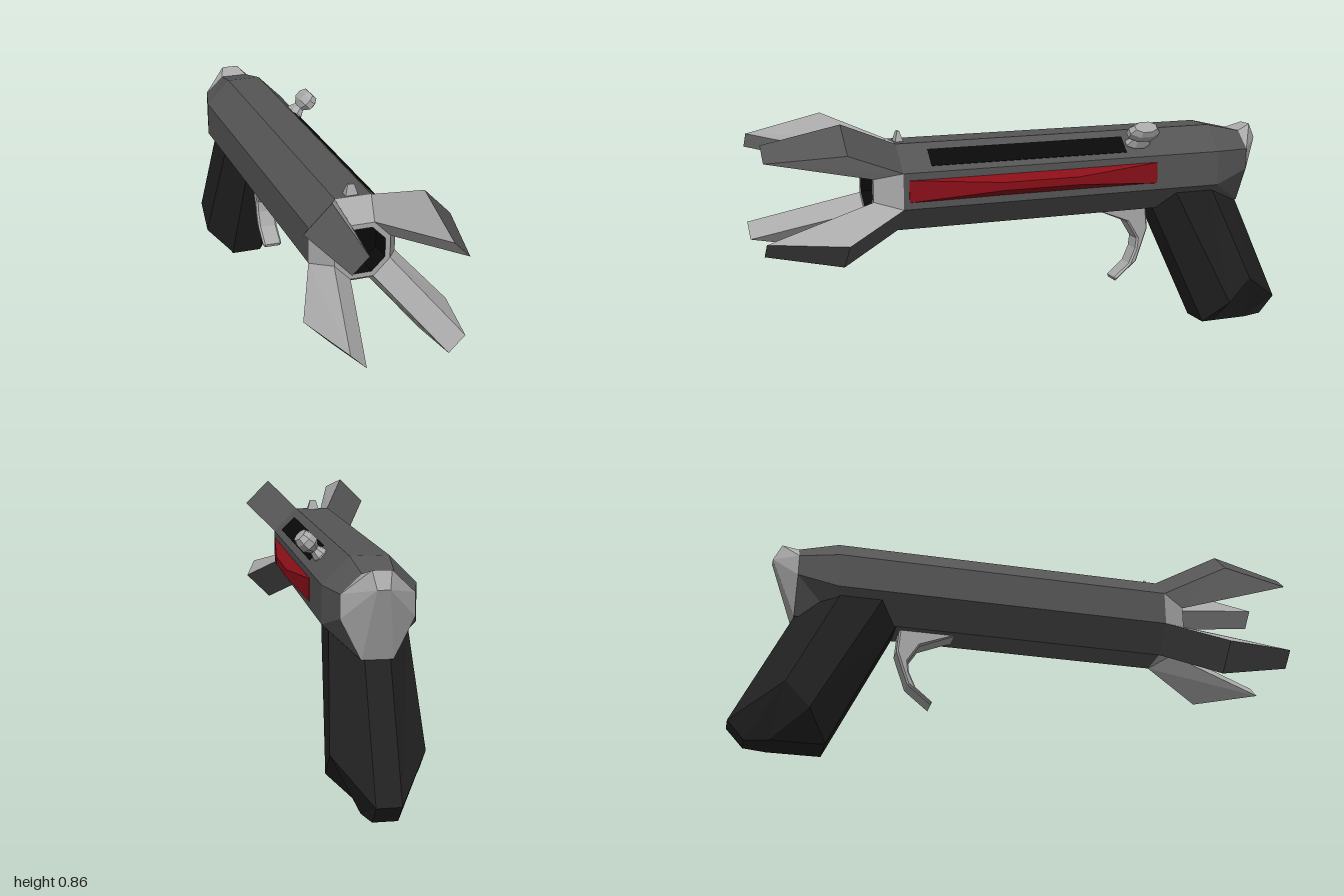
import * as THREE from 'three';
import { ConvexGeometry } from 'three/addons/geometries/ConvexGeometry.js';

const AXIS_Y = 0.617; // height of the barrel axis

const material = (color) => new THREE.MeshStandardMaterial({ color, flatShading: true });
const dark = material(0x555555);
const light = material(0xaaaaaa);
const gripBlack = material(0x222222);
const black = material(0x0a0a0a);
const red = material(0x8a0f18);

function mesh(name, geometry, mat) {
  const m = new THREE.Mesh(geometry, mat);
  m.name = name;
  return m;
}

// Flat faces from convex polygons given counter-clockwise
function faces(polygons) {
  const pos = [];
  for (const p of polygons)
    for (let i = 1; i < p.length - 1; i++) pos.push(...p[0], ...p[i], ...p[i + 1]);
  const g = new THREE.BufferGeometry();
  g.setAttribute('position', new THREE.Float32BufferAttribute(pos, 3));
  g.computeVertexNormals();
  return g;
}

// Skin over rings that run counter-clockwise seen from the end
function loft(rings, capStart = true, capEnd = true) {
  const polys = [];
  for (let k = 0; k < rings.length - 1; k++) {
    const a = rings[k], b = rings[k + 1], n = a.length;
    for (let i = 0; i < n; i++) {
      const j = (i + 1) % n;
      polys.push([a[i], a[j], b[j], b[i]]);
    }
  }
  if (capStart) polys.push([...rings[0]].reverse());
  if (capEnd) polys.push(rings[rings.length - 1]);
  return faces(polys);
}

// Completes a ring by mirroring its +x half
const mirrored = (half) => [...half, ...[...half].reverse().map(([x, y, z]) => [-x, y, z])];

// Regular octagon around the barrel axis; a = distance to its flats
function octagon(a, z) {
  const h = a * Math.tan(Math.PI / 8);
  return mirrored([[h, AXIS_Y - a, z], [a, AXIS_Y - h, z], [a, AXIS_Y + h, z], [h, AXIS_Y + a, z]]);
}

// One claw-like prong, built pointing up and turned around the barrel axis
function createProng(name, angle) {
  const pair = (half, r, z) => [[-half, r, z], [half, r, z]];
  const [a0, a1] = pair(0.062, 0.15, 0.53);
  const [b0, b1] = pair(0.064, 0.276, 0.74);
  const [c0, c1] = pair(0.037, 0.224, 1);
  const [d0, d1] = pair(0.04, 0.095, 0.62);
  const prong = new THREE.Group();
  prong.name = name;
  prong.add(
    mesh('prongOuterFaces', faces([[a0, b0, b1, a1], [b0, c0, c1, b1]]), dark),
    mesh('prongInnerFaces', faces([[d0, d1, c1, c0], [a1, b1, c1, d1], [d0, c0, b0, a0]]), light)
  );
  prong.position.y = AXIS_Y;
  prong.rotation.z = angle;
  return prong;
}

export function createModel() {
  const model = new THREE.Group();
  model.name = 'pistol';

  // Octagonal body, narrowing at the rear
  const rearEnd = mirrored([[0.05, 0.47, -0.81], [0.115, 0.6, -0.81], [0.115, 0.675, -0.81], [0.05, 0.735, -0.81]]);
  model.add(mesh('body', loft([rearEnd, octagon(0.15, -0.67), octagon(0.15, 0.53)]), dark));

  // Tapered muzzle with a black bore
  model.add(
    mesh('muzzle', loft([octagon(0.15, 0.53), octagon(0.095, 0.62), octagon(0.078, 0.62)], false, false), light),
    mesh('bore', loft([octagon(0.078, 0.62), octagon(0.078, 0.54)], false, true), black)
  );

  // Four prongs around the muzzle
  ['upperLeftProng', 'upperRightProng', 'lowerRightProng', 'lowerLeftProng'].forEach((name, i) =>
    model.add(createProng(name, -Math.PI / 4 + i * Math.PI / 2)));

  // Faceted rear cap
  const capPoints = [...rearEnd];
  for (const s of [-1, 1])
    capPoints.push([s * 0.03, 0.755, -0.868], [s * 0.02, 0.7, -0.897]);
  model.add(mesh('rearCap', new ConvexGeometry(capPoints.map((p) => new THREE.Vector3(...p))), light));

  // Raked grip with a narrow back and a bevelled foot, from top to bottom
  model.add(mesh('grip', loft([
    mirrored([[0.04, 0.5, -0.795], [0.125, 0.556, -0.65], [0.125, 0.556, -0.5], [0.055, 0.48, -0.445]]),
    mirrored([[0.04, 0.065, -1], [0.15, 0.18, -0.825], [0.15, 0.093, -0.74], [0.06, 0.005, -0.673]]),
    mirrored([[0.04, 0, -0.94], [0.06, 0, -0.86], [0.06, 0, -0.72], [0.06, 0, -0.675]])
  ]), gripBlack));

  // Curved trigger, drawn as a side profile of (-z, y)
  const profile = [[0.22, 0.475], [0.36, 0.415], [0.4, 0.35], [0.395, 0.31], [0.37, 0.255], [0.31, 0.205],
    [0.315, 0.193], [0.4, 0.262], [0.443, 0.385], [0.435, 0.475]];
  const trigger = mesh('trigger', new THREE.ExtrudeGeometry(
    new THREE.Shape(profile.map((p) => new THREE.Vector2(...p))),
    { depth: 0.06, bevelEnabled: true, bevelSize: 0.006, bevelOffset: -0.006, bevelThickness: 0.007, bevelSegments: 1 }
  ), light);
  trigger.rotation.y = Math.PI / 2;
  trigger.position.x = -0.03;
  model.add(trigger);

  // Red side panel, bulging in the middle
  const panelRing = (x, h, z) => [[0.145, AXIS_Y - 0.04, z], [x, AXIS_Y - h, z], [x, AXIS_Y + h, z], [0.145, AXIS_Y + 0.04, z]];
  model.add(mesh('sidePanel', loft([
    panelRing(0.152, 0.038, -0.42), panelRing(0.185, 0.014, -0.1),
    panelRing(0.185, 0.014, 0.18), panelRing(0.152, 0.038, 0.51)
  ]), red));

  // Bolt slot and flat-sided handle on the upper left slanted face
  const boltSide = new THREE.Group();
  boltSide.name = 'bolt';
  boltSide.position.y = AXIS_Y;
  boltSide.rotation.z = -Math.PI / 4;
  const slot = mesh('boltSlot', new THREE.BoxGeometry(0.07, 0.01, 0.73), black);
  slot.position.set(0.003, 0.147, 0.06);
  const knobProfile = [[0, 0.14], [0.05, 0.14], [0.05, 0.155], [0.032, 0.178], [0.062, 0.2], [0.062, 0.225], [0.045, 0.245], [0, 0.245]];
  const handle = mesh('boltHandle', new THREE.LatheGeometry(
    knobProfile.map((p) => new THREE.Vector2(...p)), 8, Math.PI / 8), light);
  handle.scale.x = 0.55;
  handle.position.z = -0.36;
  boltSide.add(slot, handle);
  model.add(boltSide);

  // Front sight
  const sightRing = (x, y, z0, z1) => [[x, y, z0], [-x, y, z0], [-x, y, z1], [x, y, z1]];
  model.add(mesh('frontSight', loft([sightRing(0.022, 0.765, 0.49, 0.52), sightRing(0.011, 0.802, 0.502, 0.51)]), light));

  return model;
}
